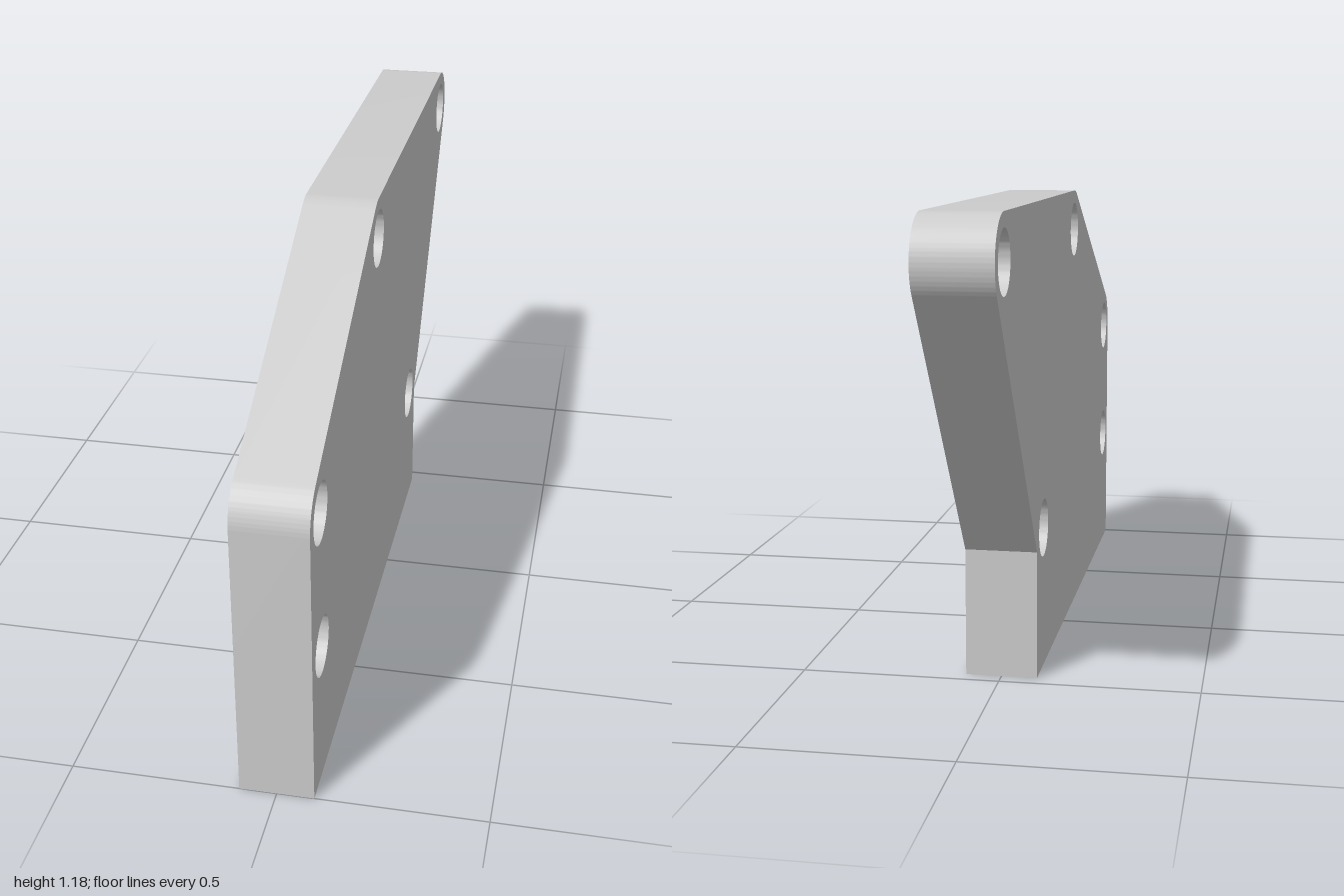
import * as THREE from 'three';
import { toCreasedNormals } from 'three/addons/utils/BufferGeometryUtils.js';

const THICKNESS = 0.18;
const CORNER_R = 0.107;
const HOLE_R = 0.073;

// Bolt hole centres as [distance towards the back, height]
const HOLES = {
  frontLow: [-0.893, 0.36],
  frontHigh: [-0.893, 0.717],
  topFront: [-0.181, 1.073],
  topBack: [0.893, 1.073],
  backLow: [0.357, 0.36],
};

export function createModel() {
  const { frontHigh, topFront, topBack } = HOLES;
  const heel = [0.462, 0.324];

  // Angle of the outward normal on the sloping front edge
  const slope = Math.atan2(topFront[1] - frontHigh[1], topFront[0] - frontHigh[0]) + Math.PI / 2;
  // Angle where the line from the heel touches the rounded back corner
  const dx = heel[0] - topBack[0], dy = heel[1] - topBack[1];
  const tangent = Math.atan2(dy, dx) + Math.acos(CORNER_R / Math.hypot(dx, dy));

  // Outline, with rounded corners concentric with the bolt holes
  const outline = new THREE.Shape();
  outline.moveTo(heel[0], 0);
  outline.lineTo(-1, 0);
  outline.absarc(...frontHigh, CORNER_R, Math.PI, slope, true);
  outline.absarc(...topFront, CORNER_R, slope, Math.PI / 2, true);
  outline.absarc(...topBack, CORNER_R, Math.PI / 2, tangent, true);
  outline.lineTo(...heel);
  outline.closePath();

  // Through holes
  for (const centre of Object.values(HOLES)) {
    outline.holes.push(new THREE.Path().absarc(...centre, HOLE_R, 0, Math.PI * 2, false));
  }

  // Plate standing upright in the y-z plane
  const geometry = new THREE.ExtrudeGeometry(outline, {
    depth: THICKNESS, bevelEnabled: false, curveSegments: 32,
  });
  geometry.translate(0, 0, -THICKNESS / 2);
  geometry.rotateY(Math.PI / 2);

  const plate = new THREE.Mesh(
    toCreasedNormals(geometry, 0.4),
    new THREE.MeshStandardMaterial({ color: 0xcccccc }),
  );
  plate.name = 'mountingPlate';

  const group = new THREE.Group();
  group.name = 'sidePlate';
  group.add(plate);
  return group;
}
